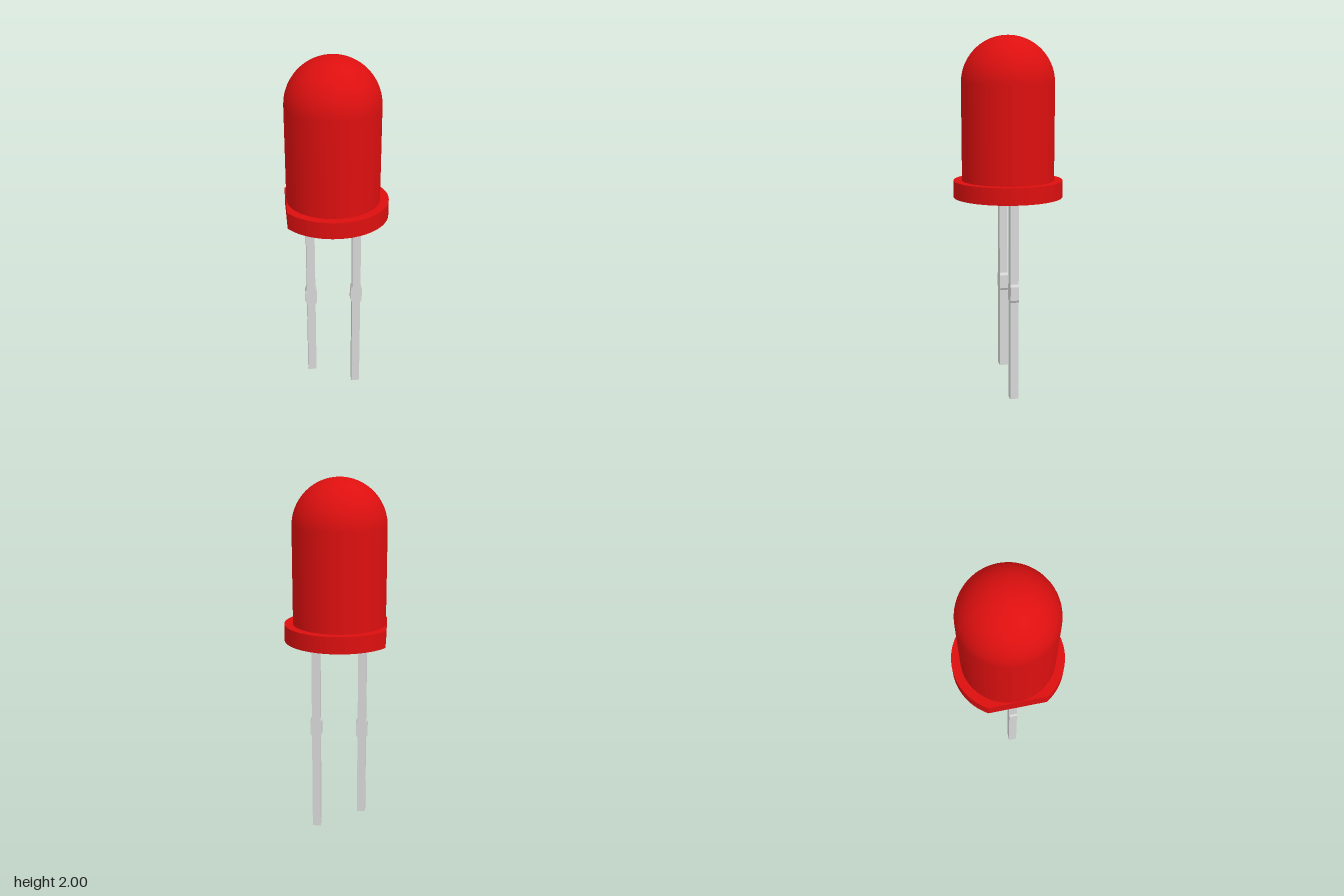
import * as THREE from 'three';
import { toCreasedNormals } from 'three/addons/utils/BufferGeometryUtils.js';

const AXIS_X = -0.0225; // axis of the round parts

export function createModel() {
  const red = new THREE.MeshStandardMaterial({ color: 0xdd0f0f });
  red.name = 'red plastic';
  const metal = new THREE.MeshStandardMaterial({ color: 0xd8d8d8 });
  metal.name = 'tinned metal';

  const model = new THREE.Group();
  model.name = 'lightEmittingDiode';
  const add = (name, geometry, material, x) => {
    const mesh = new THREE.Mesh(geometry, material);
    mesh.name = name;
    mesh.position.x = x;
    model.add(mesh);
  };

  // Lens: straight barrel closed by a hemisphere
  const r = 0.253;
  const profile = [new THREE.Vector2(r, 1.2), new THREE.Vector2(r, 1.5)];
  const steps = 20;
  for (let i = 0; i <= steps; i++) {
    const a = (i / steps) * Math.PI / 2;
    profile.push(new THREE.Vector2(i === steps ? 0 : r * Math.cos(a), 2 - r + r * Math.sin(a)));
  }
  add('lens', new THREE.LatheGeometry(profile, 64), red, AXIS_X);

  // Flange: disc with one flat side marking the short lead
  const half = Math.acos(0.2555 / 0.3);
  const disc = new THREE.Shape();
  disc.absarc(0, 0, 0.3, -Math.PI + half, Math.PI - half, false);
  disc.closePath();
  const flange = new THREE.ExtrudeGeometry(disc, { depth: 0.092, bevelEnabled: false, curveSegments: 64 });
  flange.rotateX(-Math.PI / 2).translate(0, 1.13, 0);
  add('flange', toCreasedNormals(flange, 0.45), red, AXIS_X);

  // Leads: square wire with a wider stop partway up
  const w = 0.0235, stop = 0.032;
  const lead = (name, x, bottom) => {
    const side = [[w, bottom], [w, 0.562], [stop, 0.576], [stop, 0.652], [w, 0.666], [w, 1.14]];
    const outline = [...side, ...side.map(([px, py]) => [-px, py]).reverse()];
    const shape = new THREE.Shape(outline.map(([px, py]) => new THREE.Vector2(px, py)));
    const geometry = new THREE.ExtrudeGeometry(shape, { depth: 2 * w, bevelEnabled: false });
    add(name, geometry.translate(0, 0, -w), metal, x);
  };
  lead('shortLead', -0.151, 0.104);
  lead('longLead', 0.107, 0);

  return model;
}
